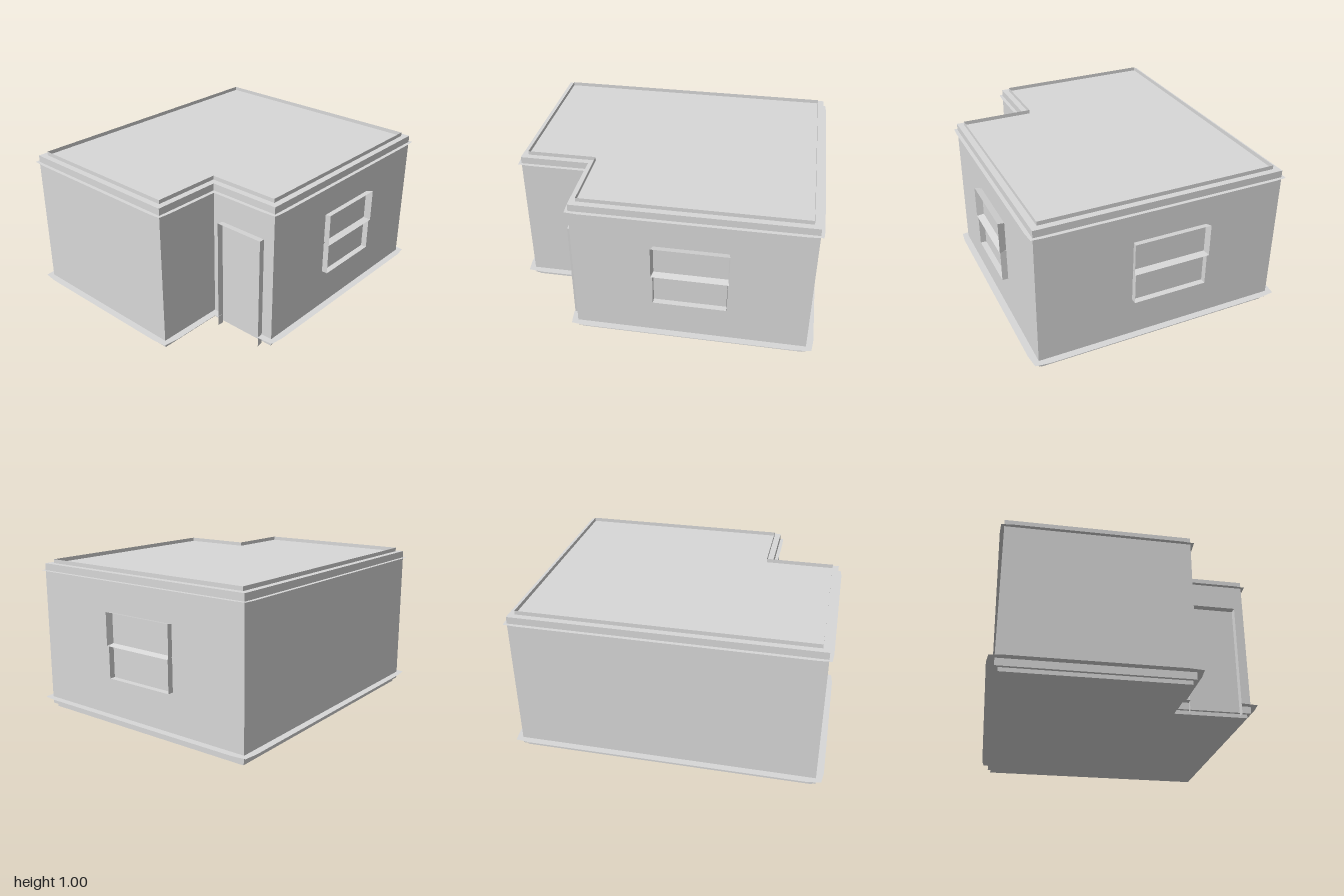
import * as THREE from 'three';

// Wall corners as [x, z], counter-clockwise from above
const CORNERS = [[-0.8, 0.955], [0.33, 0.955], [0.33, 0.51], [0.8, 0.51], [0.8, -0.955], [-0.8, -0.955]];
const N = CORNERS.length;
const INNER = 2; // index of the re-entrant corner
const DOOR = [0.4, 0.725];

// Wall i runs from corner i to the next: start, direction, length, outward normal
const WALLS = CORNERS.map((p, i) => {
  const q = CORNERS[(i + 1) % N];
  const len = Math.hypot(q[0] - p[0], q[1] - p[1]);
  const dir = [(q[0] - p[0]) / len, (q[1] - p[1]) / len];
  return { p, dir, len, out: [-dir[1], dir[0]] };
});

// Corner moved out by d from both walls (inwards when negative)
function offsetCorner(i, d) {
  const a = WALLS[(i + N - 1) % N].out, b = WALLS[i % N].out, c = CORNERS[i % N];
  return [c[0] + (a[0] + b[0]) * d, c[1] + (a[1] + b[1]) * d];
}

function fromQuads(quads) {
  const pos = [];
  for (const [a, b, c, d] of quads) pos.push(...a, ...b, ...c, ...a, ...c, ...d);
  const g = new THREE.BufferGeometry();
  g.setAttribute('position', new THREE.Float32BufferAttribute(pos, 3));
  g.computeVertexNormals();
  return g;
}

// Solid L-shaped block
function block(d, height) {
  const plan = new THREE.Shape(CORNERS.map((_, i) => {
    const [x, z] = offsetCorner(i, d);
    return new THREE.Vector2(x, -z);
  }));
  return new THREE.ExtrudeGeometry(plan, { depth: height, bevelEnabled: false }).rotateX(-Math.PI / 2);
}

// Upright thin band following the plan
function band(d, y0, y1) {
  return fromQuads(CORNERS.map((_, i) => {
    const a = offsetCorner(i, d), b = offsetCorner(i + 1, d);
    return [[a[0], y0, a[1]], [b[0], y0, b[1]], [b[0], y1, b[1]], [a[0], y1, a[1]]];
  }));
}

// Flat thin ledge around the walls, pinched at the outer corners, with an optional gap for the door
function ledge(d, y, gap) {
  const quads = [];
  const pinch = 0.06;
  WALLS.forEach(({ p, dir, len, out }, i) => {
    const at = (s, o) => [p[0] + dir[0] * s + out[0] * o, y, p[1] + dir[1] * s + out[1] * o];
    const corner = (k) => {
      const [x, z] = offsetCorner(k, k % N === INNER ? d : d * 0.75);
      return [x, y, z];
    };
    const span = (s0, s1) => quads.push([at(s0, 0), at(s0, d), at(s1, d), at(s1, 0)]);
    quads.push([at(0, 0), corner(i), at(pinch, d), at(pinch, 0)]);
    if (gap && i === INNER) {
      span(pinch, gap[0] - p[0]);
      span(gap[1] - p[0], len - pinch);
    } else span(pinch, len - pinch);
    quads.push([at(len - pinch, 0), at(len - pinch, d), corner(i + 1), at(len, 0)]);
  });
  return fromQuads(quads);
}

// Thin rectangular surround standing out along +z, widening by flare at the front
function surround(w, y0, y1, depth, flare, sides) {
  const rect = (f, z) => [[-w / 2 - f, y0 - f, z], [w / 2 + f, y0 - f, z], [w / 2 + f, y1 + f, z], [-w / 2 - f, y1 + f, z]];
  const back = rect(0, 0), front = rect(flare, depth);
  return fromQuads(sides.map((i) => {
    const j = (i + 1) % 4;
    return [back[i], back[j], front[j], front[i]];
  }));
}
const [SILL, RIGHT, TOP, LEFT] = [0, 1, 2, 3];

export function createModel() {
  const model = new THREE.Group();
  const grey = new THREE.MeshStandardMaterial({ color: 0xd8d8d8, side: THREE.DoubleSide });
  grey.name = 'plain grey';

  const add = (parent, name, geometry, y = 0) => {
    const mesh = new THREE.Mesh(geometry, grey);
    mesh.name = name;
    mesh.position.y = y;
    parent.add(mesh);
  };

  // Walls with flat roof, recessed plinth and recessed parapet
  add(model, 'wallsAndRoof', block(0, 0.95), 0.025);
  add(model, 'plinth', block(-0.02, 0.025));
  add(model, 'parapet', band(-0.04, 0.975, 1));

  // Ledges around the foot and the head of the walls
  add(model, 'skirtingLedge', ledge(0.045, 0.07, DOOR));
  add(model, 'corniceLedge', ledge(0.024, 0.93));

  // Sash windows, the upper sash splayed slightly
  function windowUnit(name, w, x, z, turn) {
    const g = new THREE.Group();
    g.name = name;
    add(g, 'upperSash', surround(w - 0.02, 0.542, 0.733, 0.044, 0.01, [SILL, RIGHT, TOP, LEFT]));
    add(g, 'lowerSash', surround(w - 0.02, 0.325, 0.536, 0.038, 0, [SILL, RIGHT, LEFT]));
    g.position.set(x, 0, z);
    g.rotation.y = turn;
    model.add(g);
  }
  windowUnit('sideWindow', 0.475, 0.8, -0.2225, Math.PI / 2);
  windowUnit('backWindow', 0.5, -0.045, -0.955, Math.PI);

  // Door surround in the recess
  const door = new THREE.Group();
  door.name = 'door';
  add(door, 'doorSurround', surround(DOOR[1] - DOOR[0], 0.004, 0.742, 0.04, 0.003, [RIGHT, TOP, LEFT]));
  door.position.set((DOOR[0] + DOOR[1]) / 2, 0, 0.51);
  model.add(door);

  return model;
}
